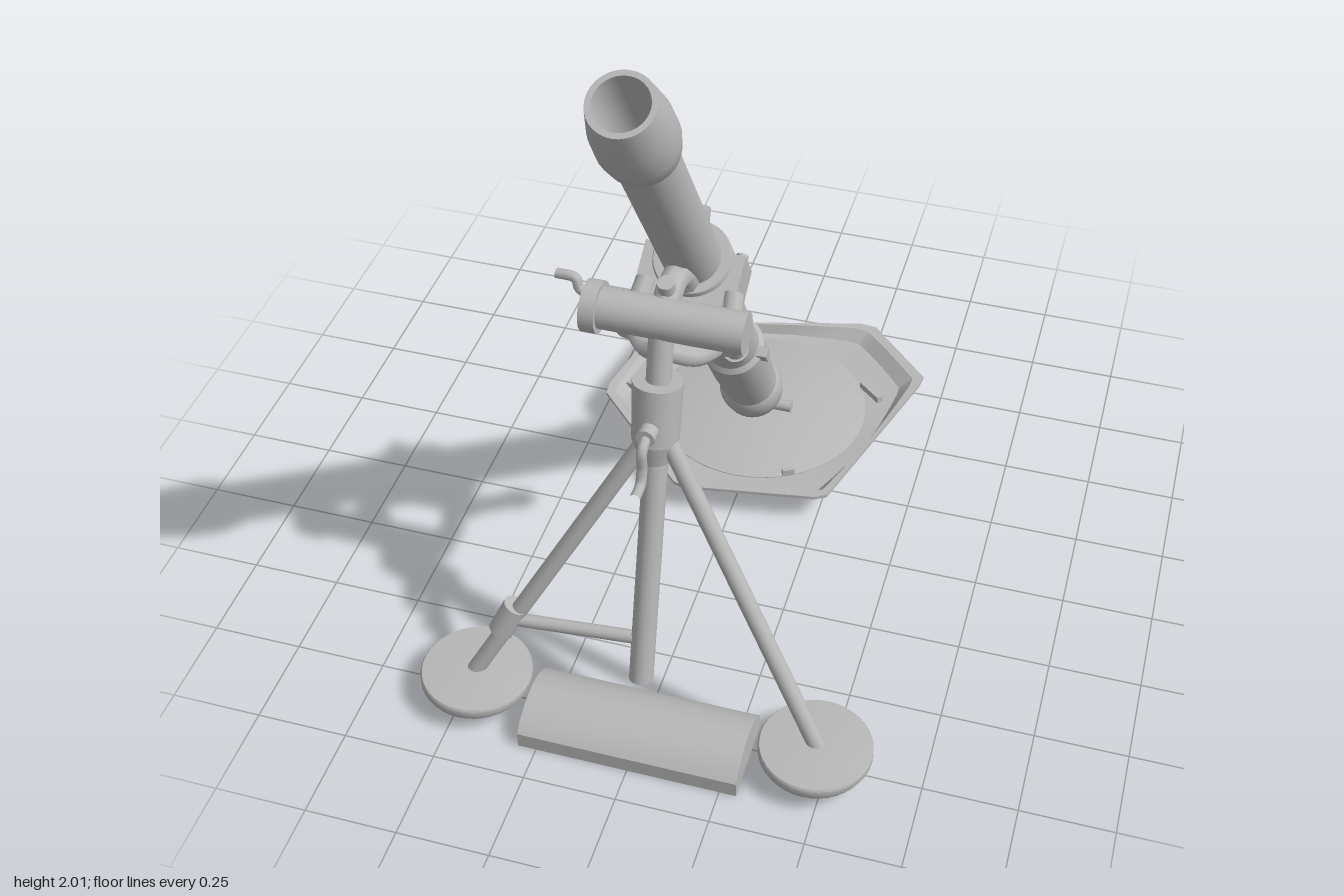
import * as THREE from 'three';
import { toCreasedNormals } from 'three/addons/utils/BufferGeometryUtils.js';

const metal = new THREE.MeshStandardMaterial({ color: 0xb8b8b8 });
metal.name = 'grey metal';
const V = (x, y, z) => new THREE.Vector3(x, y, z);

function add(parent, name, geometry, x = 0, y = 0, z = 0) {
  const m = new THREE.Mesh(geometry, metal);
  m.name = name;
  m.position.set(x, y, z);
  parent.add(m);
  return m;
}

// round bar between two points, r0 at the start and r1 at the end
function rod(parent, name, a, b, r0, r1 = r0, sides = 16) {
  const d = b.clone().sub(a);
  const m = add(parent, name, new THREE.CylinderGeometry(r1, r0, d.length(), sides));
  m.position.copy(a).addScaledVector(d, 0.5);
  m.quaternion.setFromUnitVectors(V(0, 1, 0), d.normalize());
  return m;
}

function bent(parent, name, points, r) {
  return add(parent, name, new THREE.TubeGeometry(new THREE.CatmullRomCurve3(points), 20, r, 8));
}

// turned part from [radius, height] pairs
function turned(parent, name, profile, x = 0, y = 0, z = 0, sides = 32) {
  const g = new THREE.LatheGeometry(profile.map(p => new THREE.Vector2(p[0], p[1])), sides);
  return add(parent, name, toCreasedNormals(g, 0.6), x, y, z);
}

// irregular tray whose inner edge is a circle
function plateGeometry(cx, cz, radius) {
  const corners = [[-.40, -.76], [.20, -.92], [.25, -.915], [.445, -.72], [.44, -.68], [.28, -.13],
    [.245, -.11], [-.13, -.05], [-.165, -.06], [-.48, -.38], [-.485, -.425], [-.425, -.735]];
  const outline = [];
  corners.forEach((p, i) => {
    const q = corners[(i + 1) % corners.length];
    for (let k = 0; k < 6; k++) outline.push([p[0] + (q[0] - p[0]) * k / 6, p[1] + (q[1] - p[1]) * k / 6]);
  });
  // [fraction from circle to outline, height], over the top and back below
  const rings = [[0, .06], [.6, .066], [.82, .098], [1, .1], [1, .09], [.35, .045], [0, .045]];
  const pos = [], index = [], n = outline.length;
  for (const [f, y] of rings) for (const [x, z] of outline) {
    const a = Math.atan2(z - cz, x - cx);
    const ix = cx + radius * Math.cos(a), iz = cz + radius * Math.sin(a);
    pos.push(ix + (x - ix) * f, y, iz + (z - iz) * f);
  }
  for (let r = 0; r < rings.length - 1; r++) for (let j = 0; j < n; j++) {
    const a = r * n + j, b = r * n + (j + 1) % n, c = b + n, d = a + n;
    index.push(a, b, c, a, c, d);
  }
  const g = new THREE.BufferGeometry();
  g.setAttribute('position', new THREE.Float32BufferAttribute(pos, 3));
  g.setIndex(index);
  return toCreasedNormals(g, 0.4);
}

function buildBarrel() {
  const g = new THREE.Group();
  g.name = 'barrel';
  g.position.set(-0.01, 0.09, -0.465);
  g.rotation.x = Math.atan2(1.10, 1.72);
  turned(g, 'tube', [[.075, .5], [.075, 1.98]]);
  turned(g, 'muzzle', [[.075, 1.965], [.09, 1.985], [.099, 2.04], [.097, 2.12], [.08, 2.224],
    [.066, 2.224], [.062, 2.1], [.062, 1.75], [0, 1.75]]);
  turned(g, 'breechSleeve', [[.08, .2], [.082, .33], [.087, .45], [.089, .6], [.076, .615]]);
  turned(g, 'breechCap', [[0, .1], [.055, .1], [.06, .125], [.088, .17], [.094, .22], [.088, .26], [.078, .275]]);
  turned(g, 'ballStem', [[0, -.03], [.028, -.03], [.028, .06], [.04, .075], [.04, .12]], 0, 0, 0, 16);
  // breech lugs and sleeve ear
  rod(g, 'breechPin', V(-.07, .09, .01), V(.11, .09, .01), .018);
  rod(g, 'breechLug', V(0, .09, -.08), V(0, .13, -.03), .02);
  add(g, 'sleeveEar', new THREE.BoxGeometry(.03, .04, .03), .09, .6, .01);

  // clamp round the tube
  turned(g, 'clampBand', [[.074, 1.17], [.098, 1.17], [.102, 1.18], [.102, 1.3], [.098, 1.31], [.074, 1.31]]);
  add(g, 'clampBlock', new THREE.BoxGeometry(.2, .12, .06), 0, 1.235, .09);
  for (const s of [-1, 1]) {
    add(g, 'clampEar', new THREE.BoxGeometry(.045, .11, .1), s * .108, 1.24, .02);
    rod(g, 'clampBolt', V(s * .11, 1.24, -.05), V(s * .11, 1.24, .1), .016);
  }
  rod(g, 'clampKnob', V(0, 1.3, -.09), V(0, 1.33, -.125), .022);

  // recoil buffers slung ahead of the tube
  for (const s of [-1, 1]) {
    rod(g, 'recoilBuffer', V(s * .1, 1.0, .13), V(s * .1, 1.22, .13), .028);
    rod(g, 'bufferCap', V(s * .1, .965, .13), V(s * .1, 1.01, .13), .024, .035);
    rod(g, 'bufferCollar', V(s * .1, 1.19, .13), V(s * .1, 1.24, .13), .037);
  }
  return g;
}

function buildBase() {
  const g = new THREE.Group();
  g.name = 'base';
  add(g, 'basePlate', plateGeometry(-.015, -.495, .32));
  const dome = [[0, .045], [.32, .045], [.32, .062]];
  for (let i = 1; i <= 8; i++) {
    const f = 1 - i / 8;
    dome.push([.32 * f, .062 + .036 * (1 - f * f)]);
  }
  turned(g, 'baseDome', dome, -.015, 0, -.495, 48);
  // carrying handles
  const left = add(g, 'plateHandle', new THREE.BoxGeometry(.055, .02, .17), -.395, .08, -.53);
  left.rotation.y = -.2;
  const right = add(g, 'plateHandle', new THREE.BoxGeometry(.09, .02, .02), .30, .08, -.63);
  right.rotation.y = -.7;
  for (const [x, z] of [[-.26, -.65], [.14, -.22]])
    add(g, 'domeTab', new THREE.BoxGeometry(.035, .02, .015), x, .075, z).rotation.y = .5;
  return g;
}

function buildBipod() {
  const g = new THREE.Group();
  g.name = 'bipod';
  for (const s of [-1, 1]) {
    rod(g, 'leg', V(s * .03, .87, .575), V(s * .47, .085, .757), .023);
    turned(g, 'footPad', [[0, .045], [.125, .045], [.143, .052], [.15, .066], [.15, .084],
      [.146, .09], [.08, .095], [0, .097]], s * .467, 0, .757, 40);
  }
  // centre post with brace to one leg
  rod(g, 'centrePost', V(-.005, .86, .57), V(-.01, .17, .735), .032);
  rod(g, 'brace', V(-.385, .265, .715), V(-.01, .29, .705), .018);
  rod(g, 'braceCollar', V(-.36, .31, .705), V(-.40, .225, .725), .034);

  // weight bag lying between the feet
  const loaf = new THREE.Shape();
  [[.67, 0], [.67, .045], [.695, .07], [.735, .091], [.785, .1], [.835, .091], [.88, .07], [.905, .045], [.905, 0]]
    .forEach(([z, y], i) => i ? loaf.lineTo(-z, y) : loaf.moveTo(-z, y));
  const bag = add(g, 'weightBag', toCreasedNormals(
    new THREE.ExtrudeGeometry(loaf, { depth: .595, bevelEnabled: false }), .7), -.3, 0, 0);
  bag.rotation.y = Math.PI / 2;

  // elevating gear housing
  rod(g, 'gearHousing', V(-.01, .87, .565), V(-.01, 1.03, .533), .06, .064, 24);
  rod(g, 'housingNeck', V(-.01, .81, .577), V(-.01, .875, .564), .04, .06, 24);
  rod(g, 'elevatingScrew', V(-.01, 1.0, .535), V(-.01, 1.16, .495), .032);
  rod(g, 'crankHub', V(-.01, .93, .56), V(-.01, .935, .645), .024);
  bent(g, 'elevatingCrank', [V(-.01, .935, .63), V(-.01, .92, .67), V(-.01, .86, .675),
    V(-.01, .825, .69), V(-.01, .82, .735)], .014);

  // traversing cylinder with end flange and crank
  rod(g, 'traverseCylinder', V(-.2, 1.187, .485), V(.2, 1.187, .485), .053, .053, 28);
  rod(g, 'traverseFlange', V(-.205, 1.187, .485), V(-.165, 1.187, .485), .066, .066, 28);
  bent(g, 'traverseCrank', [V(-.2, 1.21, .475), V(-.225, 1.225, .472), V(-.235, 1.25, .468),
    V(-.285, 1.253, .465)], .013);

  // yoke joining the traversing gear to the clamp
  bent(g, 'yokeArm', [V(-.01, 1.2, .47), V(-.01, 1.235, .41), V(-.01, 1.21, .34), V(-.01, 1.14, .28)], .036);
  rod(g, 'yokeKnob', V(-.01, 1.22, .44), V(-.01, 1.275, .455), .022);
  for (const s of [-1, 1]) {
    bent(g, 'yokeFork', [V(0, 1.09, .49), V(s * .07, 1.06, .45), V(s * .12, 1.08, .38), V(s * .115, 1.14, .29)], .026);
    rod(g, 'forkKnob', V(s * .125, 1.1, .33), V(s * .125, 1.07, .43), .024);
  }
  return g;
}

export function createModel() {
  const model = new THREE.Group();
  model.name = 'mortar';
  model.add(buildBarrel(), buildBase(), buildBipod());
  return model;
}
